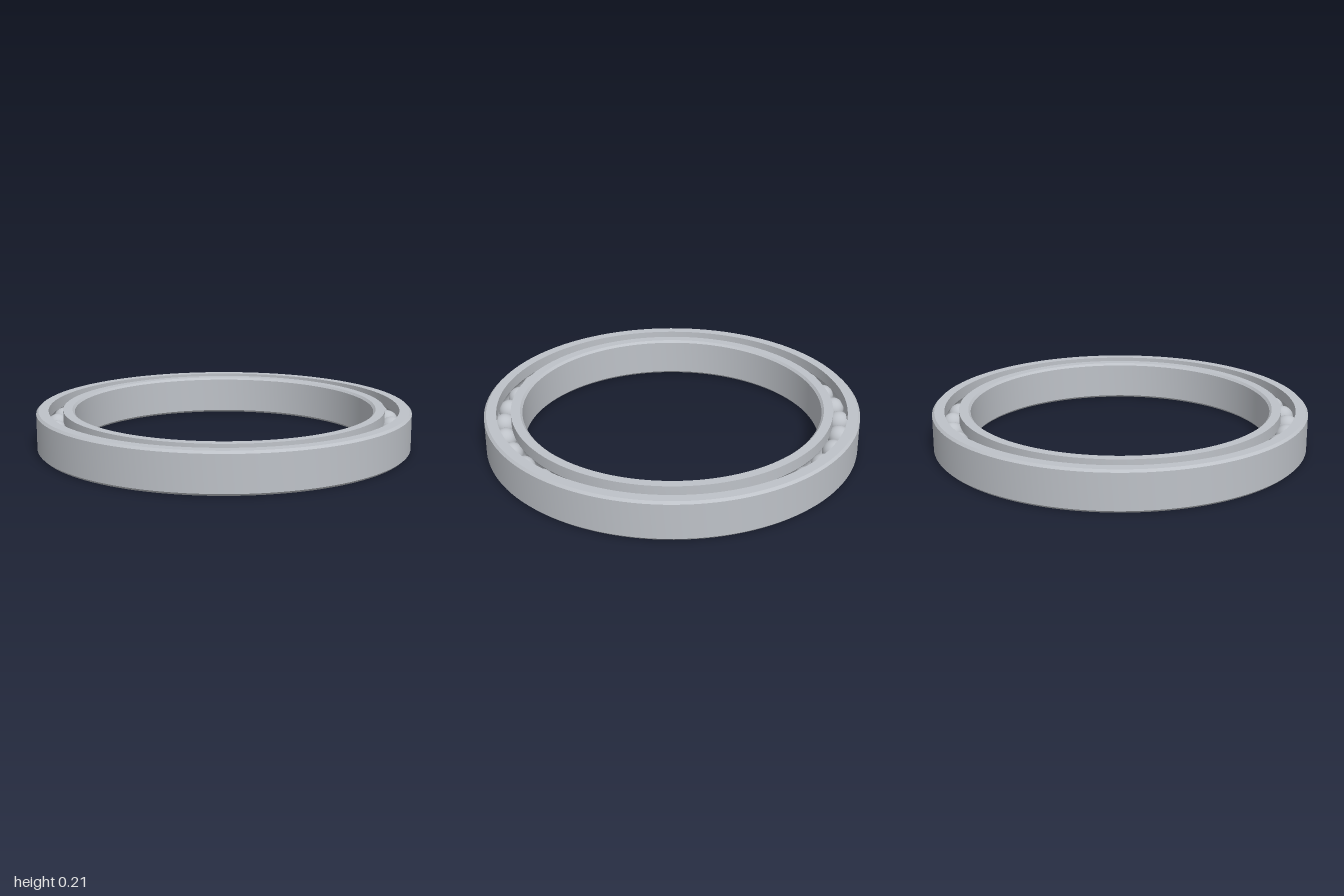
import * as THREE from 'three';
import { toCreasedNormals } from 'three/addons/utils/BufferGeometryUtils.js';

const HEIGHT = 0.213, MID = HEIGHT / 2;
const OUTER = 1, BORE = 0.798, CHAMFER = 0.012;
const PITCH = 0.897, GAP = 0.038; // ball circle radius and half the gap between the rings
const BALL = 0.059, GROOVE = 0.06, BALL_COUNT = 35;

// Arc of the ball groove, centred on direction "facing" and swept clockwise
function groove(facing) {
  const half = Math.acos(GAP / GROOVE), steps = 10;
  return Array.from({ length: steps + 1 }, (_, i) => {
    const a = facing + half - (2 * half * i) / steps;
    return [PITCH + GROOVE * Math.cos(a), MID + GROOVE * Math.sin(a)];
  });
}

// Closed counterclockwise cross-section spun around y
function ring(name, section, material) {
  const points = [...section, section[0]].map(([x, y]) => new THREE.Vector2(x, y));
  const geometry = toCreasedNormals(new THREE.LatheGeometry(points, 128), 0.5);
  const mesh = new THREE.Mesh(geometry, material);
  mesh.name = name;
  return mesh;
}

export function createModel() {
  const steel = new THREE.MeshStandardMaterial({ color: 0xbec2c8 });
  steel.name = 'steel';
  const model = new THREE.Group();
  model.name = 'ballBearing';

  // Outer ring: chamfered outside, grooved inside
  const o = PITCH + GAP;
  model.add(ring('outerRing', [
    [o, 0], [OUTER - CHAMFER, 0], [OUTER, CHAMFER],
    [OUTER, HEIGHT - CHAMFER], [OUTER - CHAMFER, HEIGHT], [o, HEIGHT],
    ...groove(0),
  ], steel));

  // Inner ring: chamfered bore, grooved outside
  const i = PITCH - GAP;
  model.add(ring('innerRing', [
    [i, 0], ...groove(Math.PI), [i, HEIGHT],
    [BORE + CHAMFER, HEIGHT], [BORE, HEIGHT - CHAMFER],
    [BORE, CHAMFER], [BORE + CHAMFER, 0],
  ], steel));

  // Balls spaced evenly between the rings
  const balls = new THREE.Group();
  balls.name = 'balls';
  const ballGeometry = new THREE.SphereGeometry(BALL, 28, 18);
  for (let k = 0; k < BALL_COUNT; k++) {
    const a = (k / BALL_COUNT) * Math.PI * 2;
    const ball = new THREE.Mesh(ballGeometry, steel);
    ball.name = 'ball';
    ball.position.set(PITCH * Math.cos(a), MID, PITCH * Math.sin(a));
    balls.add(ball);
  }
  model.add(balls);
  return model;
}
